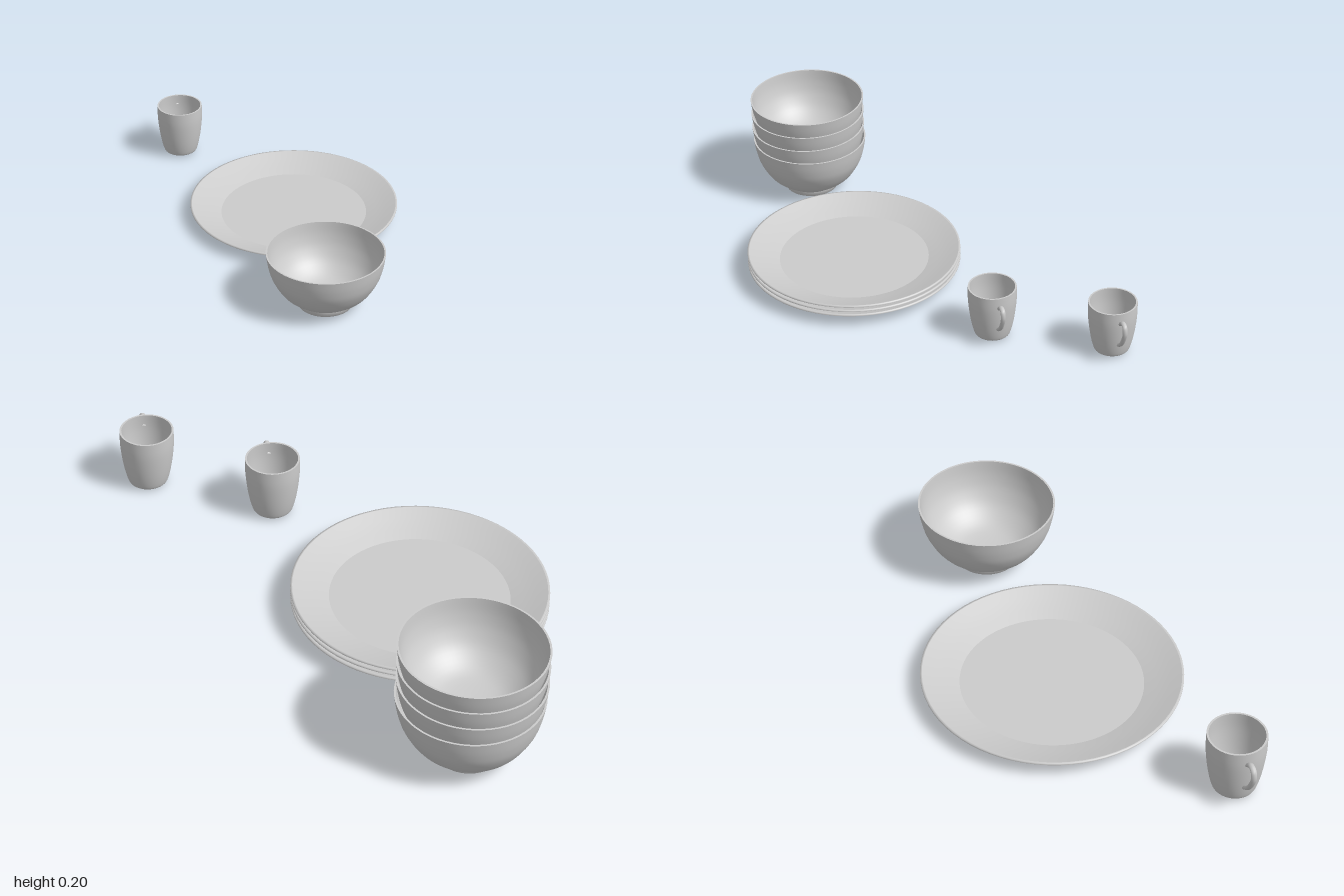
import * as THREE from 'three';

const material = new THREE.MeshStandardMaterial({ color: 0xcccccc, roughness: 0.6, side: THREE.DoubleSide });
const vectors = (points) => points.map(([r, y]) => new THREE.Vector2(r, y));
const curve = (points, n) => new THREE.SplineCurve(vectors(points)).getPoints(n);

// Revolves smooth sections; duplicated points between sections keep their edges crisp.
function turned(name, sections, segments) {
  const group = new THREE.Group();
  group.name = name;
  for (const [part, points] of sections) {
    const mesh = new THREE.Mesh(new THREE.LatheGeometry(points, segments), material);
    mesh.name = part;
    group.add(mesh);
  }
  return group;
}

function bowl() {
  return turned('bowl', [
    ['bowlFoot', vectors([[0.046, 0.002], [0.051, 0.002], [0.052, 0.011]])],
    ['bowlUnderside', vectors([[0, 0.007], [0.046, 0.007], [0.046, 0.002]])],
    ['bowlOuterWall', curve([[0.052, 0.011], [0.08, 0.032], [0.098, 0.06], [0.106, 0.085], [0.11, 0.11]], 20)],
    ['bowlRim', vectors([[0.11, 0.11], [0.107, 0.11]])],
    ['bowlInnerWall', curve([[0.107, 0.11], [0.103, 0.085], [0.094, 0.06], [0.076, 0.035], [0.045, 0.016], [0, 0.012]], 22)],
  ], 56);
}

function plate() {
  return turned('plate', [
    ['plateUnderside', vectors([[0, 0.003], [0.143, 0.003]])],
    ['plateOuterSlope', curve([[0.143, 0.003], [0.172, 0.013], [0.201, 0.026]], 6)],
    ['plateRim', vectors([[0.201, 0.026], [0.201, 0.029], [0.198, 0.029]])],
    ['plateInnerSlope', curve([[0.198, 0.029], [0.17, 0.018], [0.141, 0.008]], 6)],
    ['plateWell', vectors([[0.141, 0.008], [0, 0.008]])],
  ], 72);
}

function mug() {
  const group = turned('mug', [
    ['mugBase', vectors([[0, 0.005], [0.029, 0.005]])],
    ['mugOuterWall', curve([[0.029, 0.005], [0.033, 0.009], [0.038, 0.028], [0.042, 0.053], [0.0445, 0.08], [0.0445, 0.105]], 20)],
    ['mugRim', vectors([[0.0445, 0.105], [0.0415, 0.105]])],
    ['mugInnerWall', curve([[0.0415, 0.105], [0.0415, 0.08], [0.039, 0.053], [0.035, 0.028], [0.03, 0.012]], 16)],
    ['mugFloor', vectors([[0.03, 0.012], [0, 0.011]])],
  ], 40);
  // Ear-shaped handle at the back
  const path = new THREE.CatmullRomCurve3([[0.083, -0.042], [0.092, -0.054], [0.091, -0.064], [0.078, -0.067],
    [0.06, -0.06], [0.045, -0.05], [0.035, -0.038]].map(([y, z]) => new THREE.Vector3(0, y, z)));
  const handle = new THREE.Mesh(new THREE.TubeGeometry(path, 28, 0.0036, 8), material);
  handle.name = 'mugHandle';
  handle.scale.x = 1.3;
  group.add(handle);
  return group;
}

export function createModel() {
  const model = new THREE.Group();
  model.name = 'tableware';
  const place = (item, x, y, z, name) => {
    item.position.set(x, y, z);
    if (name) item.name = name;
    model.add(item);
    return item;
  };

  // Single place setting at the back
  place(mug(), -0.073, 0, -0.93, 'backMug');
  place(plate(), 0.112, 0, -0.645, 'backPlate');
  place(bowl(), 0.117, 0, -0.322, 'backBowl');

  // Pair of mugs
  place(mug(), -0.27, 0, 0.167, 'leftMug');
  place(mug(), -0.078, 0, 0.278, 'rightMug');

  // Stack of plates
  for (let i = 0; i < 3; i++) place(plate(), 0.107, i * 0.0095, 0.565, `stackedPlate${i + 1}`);

  // Stack of bowls, the upper ones sitting slightly askew
  for (let i = 0; i < 4; i++) {
    const b = place(bowl(), 0.111, i * 0.0292, 0.888, `stackedBowl${i + 1}`);
    b.rotation.z = i ? -0.016 : 0;
  }
  return model;
}
